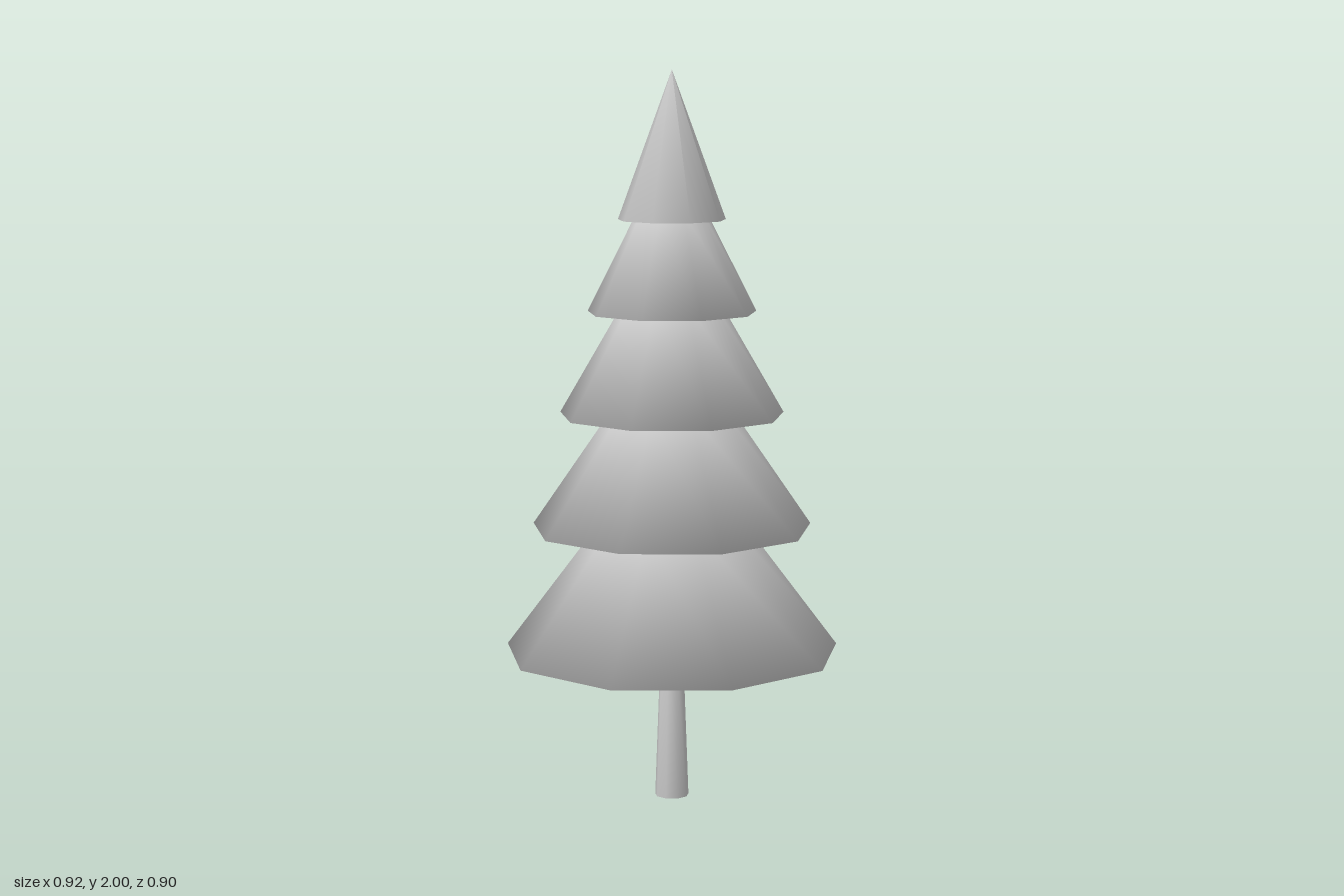
import * as THREE from 'three';

const SIDES = 9;
const CENTRE_Z = 0.012;

export function createModel() {
  const tree = new THREE.Group();
  tree.name = 'firTree';
  const grey = new THREE.MeshStandardMaterial({ color: 0xcccccc });
  grey.name = 'paleGrey';

  // Closed nine-sided body with smooth normals; one corner points to the back
  function addTurned(name, y0, r0, y1, r1) {
    const profile = [[0, y0], [r0, y0], [r1, y1]];
    if (r1 > 0) profile.push([0, y1]);
    const points = profile.map(([r, y]) => new THREE.Vector2(r, y));
    const mesh = new THREE.Mesh(new THREE.LatheGeometry(points, SIDES, Math.PI), grey);
    mesh.name = name;
    mesh.position.z = CENTRE_Z;
    tree.add(mesh);
  }

  addTurned('trunk', 0, 0.047, 0.43, 0.031);

  // Branch tiers from the ground up: base height, base radius, top height, top radius
  const tiers = [
    [0.412, 0.466, 0.78, 0.19],
    [0.757, 0.389, 1.09, 0.16],
    [1.07, 0.311, 1.375, 0.133],
    [1.35, 0.233, 1.625, 0.093],
    [1.6, 0.148, 2.0, 0],
  ];
  tiers.forEach((tier, i) => addTurned(`branchTier${i + 1}`, ...tier));

  return tree;
}
